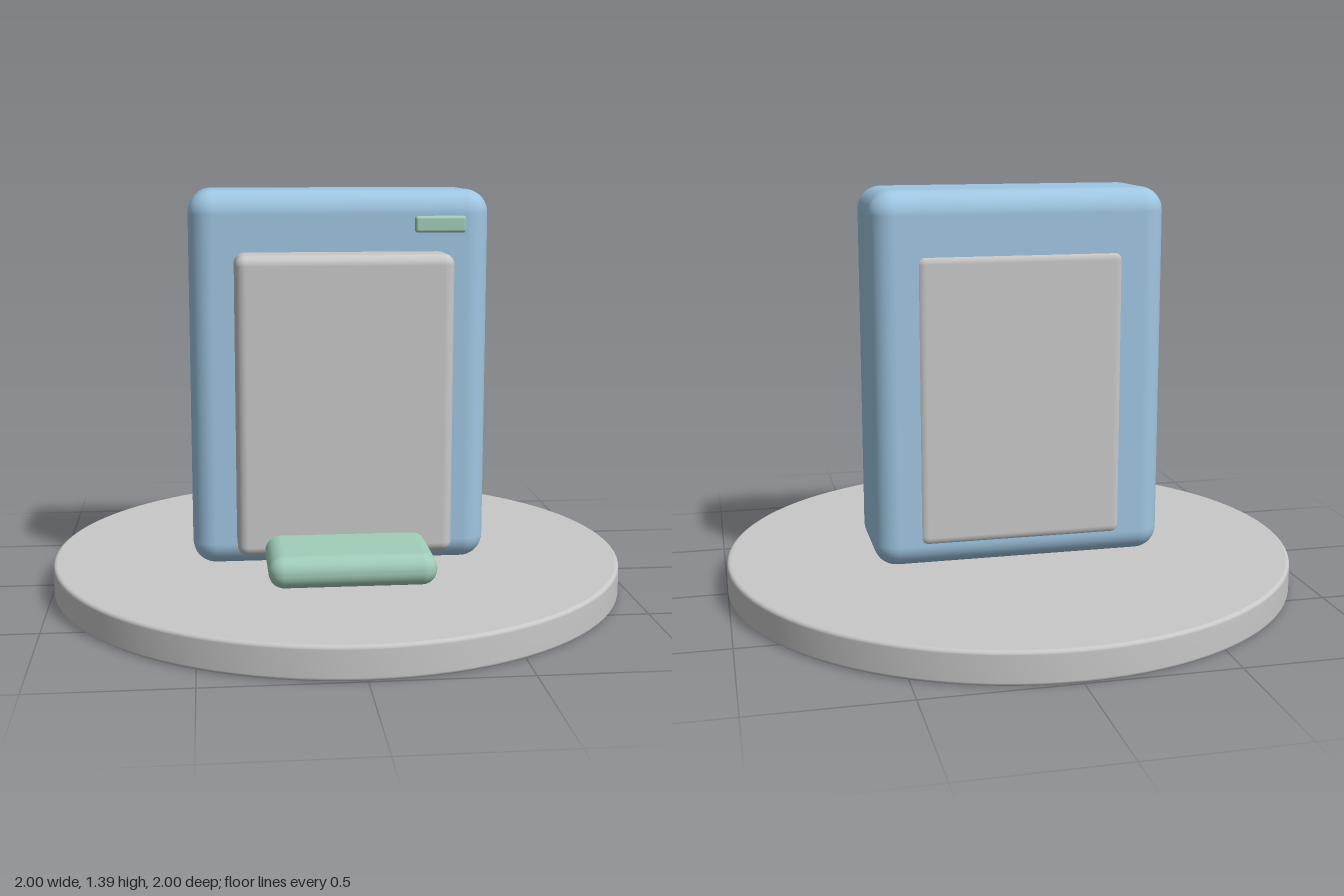
import * as THREE from 'three';
import { RoundedBoxGeometry } from 'three/addons/geometries/RoundedBoxGeometry.js';

function material(name, color) {
  const m = new THREE.MeshStandardMaterial({ color });
  m.name = name;
  return m;
}

// Rounded box given by its extents on each axis
function roundedBox(name, mat, [x0, x1], [y0, y1], [z0, z1], radius) {
  const geometry = new RoundedBoxGeometry(x1 - x0, y1 - y0, z1 - z0, 5, radius);
  const mesh = new THREE.Mesh(geometry, mat);
  mesh.position.set((x0 + x1) / 2, (y0 + y1) / 2, (z0 + z1) / 2);
  mesh.name = name;
  return mesh;
}

export function createModel() {
  const blue = material('soft blue', 0x9fc6e2);
  const grey = material('light grey', 0xc8c8c8);
  const green = material('pale green', 0xa0ccb8);
  const model = new THREE.Group();
  model.name = 'applianceOnStand';

  // Round base with a small rounded rim
  const height = 0.11, bevel = 0.012;
  const profile = [new THREE.Vector2(0, 0), new THREE.Vector2(1 - bevel, 0)];
  for (const [cy, start] of [[bevel, -Math.PI / 2], [height - bevel, 0]]) {
    for (let i = 0; i <= 4; i++) {
      const a = start + (i / 4) * (Math.PI / 2);
      profile.push(new THREE.Vector2(1 - bevel + bevel * Math.cos(a), cy + bevel * Math.sin(a)));
    }
  }
  profile.push(new THREE.Vector2(1 - bevel, height), new THREE.Vector2(0, height));
  const base = new THREE.Mesh(new THREE.LatheGeometry(profile, 96), grey);
  base.name = 'base';
  model.add(base);

  // Casing, with a panel block passing through it from front to back
  model.add(roundedBox('body', blue, [-0.51, 0.505], [0.11, 1.395], [-0.205, 0.2], 0.08));
  model.add(roundedBox('panel', grey, [-0.36, 0.36], [0.185, 1.19], [-0.213, 0.35], 0.035));

  // Tray at the foot of the panel and indicator near the top corner
  model.add(roundedBox('tray', green, [-0.27, 0.27], [0.155, 0.26], [0.23, 0.63], 0.05));
  model.add(roundedBox('indicator', green, [0.24, 0.41], [1.255, 1.31], [0.225, 0.258], 0.01));

  return model;
}
